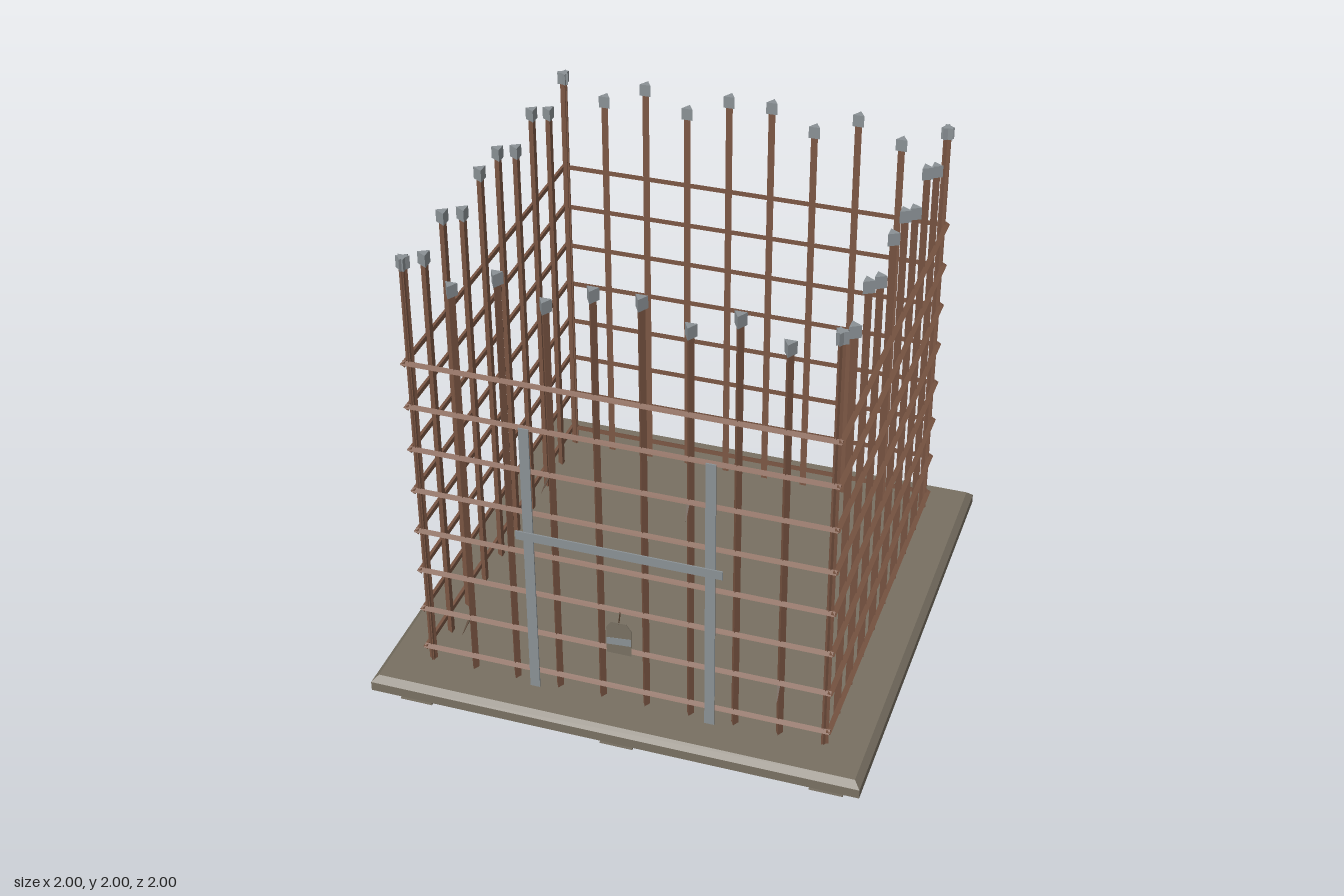
import * as THREE from 'three';

const concrete = new THREE.MeshStandardMaterial({ color: 0x787062 });
concrete.name = 'concrete';
const rust = new THREE.MeshStandardMaterial({ color: 0x7c5744 });
rust.name = 'rusty brown';
const darkRust = new THREE.MeshStandardMaterial({ color: 0x54402f });
darkRust.name = 'dark wire';
const steel = new THREE.MeshStandardMaterial({ color: 0x8a9195 });
steel.name = 'steel grey';

// Faceted copy of a geometry
function flat(geometry) {
  const g = geometry.index ? geometry.toNonIndexed() : geometry;
  g.computeVertexNormals();
  return g;
}

function add(parent, name, geometry, material, x = 0, y = 0, z = 0) {
  const mesh = new THREE.Mesh(geometry, material);
  mesh.name = name;
  mesh.position.set(x, y, z);
  parent.add(mesh);
  return mesh;
}

// Square frustum given by full widths
function frustum(top, bottom, height) {
  const g = new THREE.CylinderGeometry(top / Math.SQRT2, bottom / Math.SQRT2, height, 4);
  return flat(g.rotateY(Math.PI / 4));
}

// Three-sided prism, one edge pointing to +z
function prism(radius, length) {
  return flat(new THREE.CylinderGeometry(radius, radius, length, 3));
}

// Thin tapering wire between two points
function wire(parent, name, from, to, r0, r1) {
  const a = new THREE.Vector3(...from), b = new THREE.Vector3(...to);
  const dir = b.clone().sub(a);
  const mesh = add(parent, name, flat(new THREE.CylinderGeometry(r1, r0, dir.length(), 3)), darkRust);
  mesh.position.copy(a).add(b).multiplyScalar(0.5);
  mesh.quaternion.setFromUnitVectors(new THREE.Vector3(0, 1, 0), dir.normalize());
}

function plate(points, depth) {
  const shape = new THREE.Shape(points.map(([x, y]) => new THREE.Vector2(x, y)));
  return flat(new THREE.ExtrudeGeometry(shape, { depth, bevelEnabled: false }));
}

const BASE_TOP = 0.155;
const WALL = 0.81;

// One cage wall facing +z: capped uprights and horizontal bars
function cageWall(withSpikes) {
  const wall = new THREE.Group();
  wall.name = 'cageWall';
  const cap = prism(0.027, 0.05);
  const rods = [2.0, 1.92].map((top) => ({ top, geometry: prism(0.0165, top - 0.16) }));
  for (let i = 0; i < 10; i++) {
    const x = -WALL + i * 0.18;
    const fromEnd = Math.min(i, 9 - i);
    const { top, geometry } = rods[fromEnd % 2];
    add(wall, 'upright', geometry, rust, x, (0.14 + top - 0.02) / 2, WALL);
    add(wall, 'uprightCap', cap, steel, x, top - 0.025, WALL);
  }

  const bar = prism(0.0125, 1.67).rotateZ(Math.PI / 2);
  for (let i = 0; i < 8; i++) {
    add(wall, 'crossBar', bar, rust, 0, 0.225 + i * 0.19, 0.828);
  }

  // Loose wire ends
  if (withSpikes) {
    for (const side of [-1, 1]) {
      for (const [x, y] of [[0.63, 0.415], [0.27, 1.175]]) {
        wire(wall, 'wireEnd', [side * x, y, 0.832], [side * (x + 0.01), y - 0.04, 0.89], 0.007, 0.001);
      }
    }
  }
  return wall;
}

export function createModel() {
  const model = new THREE.Group();
  model.name = 'rebarCage';

  // Base slab with chamfered top
  const base = new THREE.Group();
  base.name = 'base';
  model.add(base);
  add(base, 'slab', flat(new THREE.BoxGeometry(2, 0.04, 2)), concrete, 0, 0.11, 0);
  add(base, 'slabChamfer', frustum(1.95, 2, BASE_TOP - 0.13), concrete, 0, (BASE_TOP + 0.13) / 2, 0);

  // Nine flared feet
  const foot = frustum(0.1, 0.136, 0.09);
  for (const x of [-0.85, 0, 0.85]) {
    for (const z of [-0.85, 0, 0.85]) add(base, 'foot', foot, concrete, x, 0.045, z);
  }

  // Four walls
  for (let i = 0; i < 4; i++) {
    const wall = cageWall(i % 2 === 0);
    wall.rotation.y = i * Math.PI / 2;
    model.add(wall);
  }

  // Gate frame
  const gate = new THREE.Group();
  gate.name = 'gate';
  model.add(gate);
  const post = flat(new THREE.BoxGeometry(0.04, 1.375 - BASE_TOP, 0.006));
  for (const side of [-1, 1]) {
    add(gate, 'gatePost', post, steel, side * 0.36, (1.375 + BASE_TOP) / 2, 0.843);
  }
  add(gate, 'gateRail', flat(new THREE.BoxGeometry(0.82, 0.038, 0.006)), steel, 0, 0.888, 0.848);

  // Hanging tag with a slanted band
  const tag = new THREE.Group();
  tag.name = 'tag';
  model.add(tag);
  add(tag, 'tagPlate', plate(
    [[-0.05, 0.42], [0.05, 0.42], [0.05, 0.54], [0.03, 0.57], [-0.03, 0.57], [-0.05, 0.54]], 0.004),
  concrete, 0, 0, 0.854);
  add(tag, 'tagBand', plate(
    [[-0.05, 0.46], [0.05, 0.468], [0.05, 0.502], [-0.05, 0.492]], 0.001),
  steel, 0, 0, 0.858);
  wire(tag, 'tagWire', [0, 0.565, 0.857], [0, 0.608, 0.838], 0.003, 0.003);

  return model;
}
